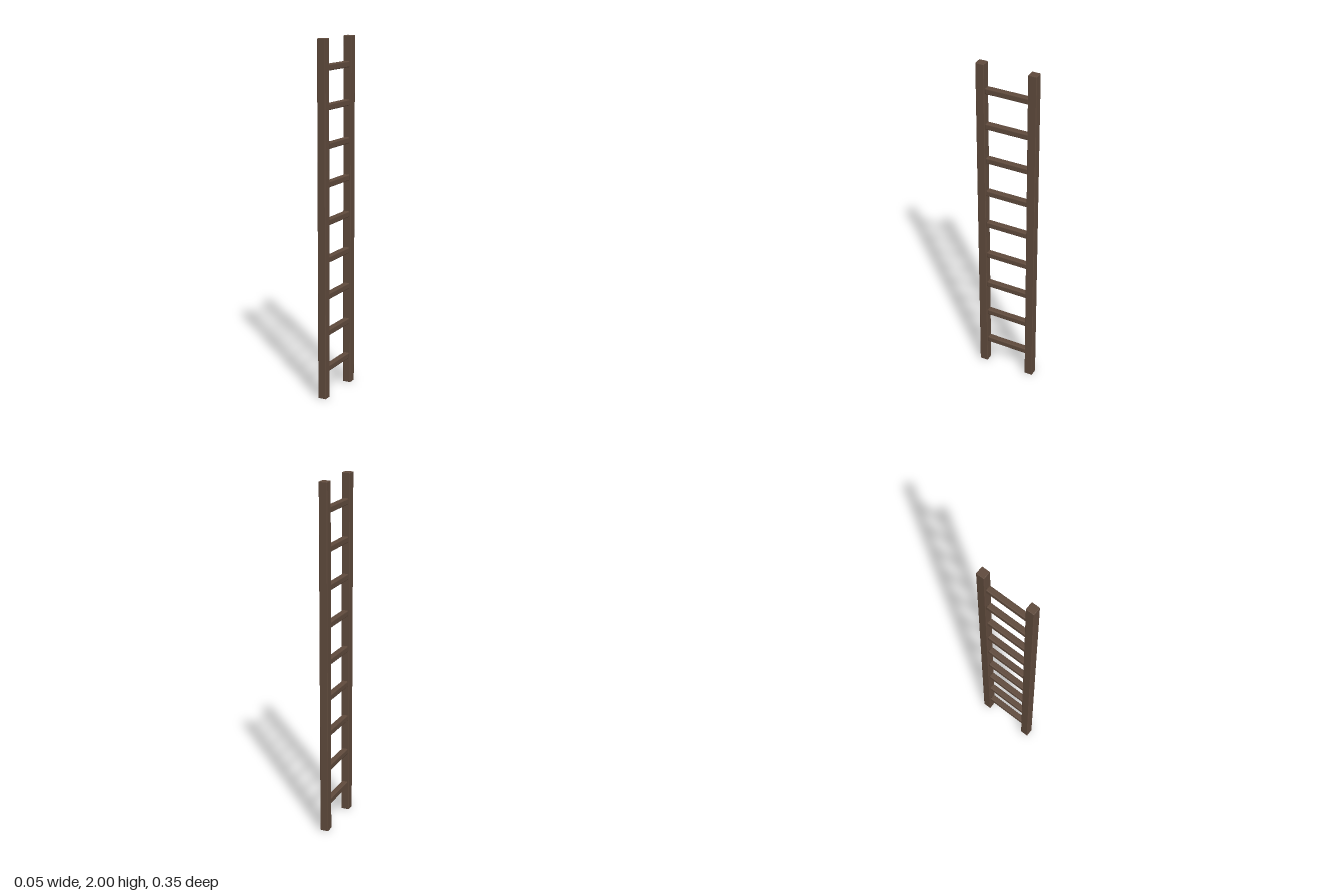
import * as THREE from 'three';
import { RoundedBoxGeometry } from 'three/addons/geometries/RoundedBoxGeometry.js';

export function createModel() {
  const ladder = new THREE.Group();
  ladder.name = 'ladder';
  const wood = new THREE.MeshStandardMaterial({ color: 0x5f4a3c, flatShading: true });
  wood.name = 'dark wood';

  const add = (name, geometry, y, z) => {
    const mesh = new THREE.Mesh(geometry, wood);
    mesh.name = name;
    mesh.position.set(0, y, z);
    ladder.add(mesh);
  };

  // Two square rails with slightly bevelled edges
  const railGeometry = new RoundedBoxGeometry(0.048, 2, 0.049, 1, 0.003);
  add('frontRail', railGeometry, 1, 0.149);
  add('backRail', railGeometry, 1, -0.149);

  // Nine evenly spaced bevelled rungs between the rails
  const rungGeometry = new RoundedBoxGeometry(0.034, 0.034, 0.25, 1, 0.005);
  for (let i = 0; i < 9; i++) add(`rung${i + 1}`, rungGeometry, 0.165 + i * 0.21, 0);

  return ladder;
}
